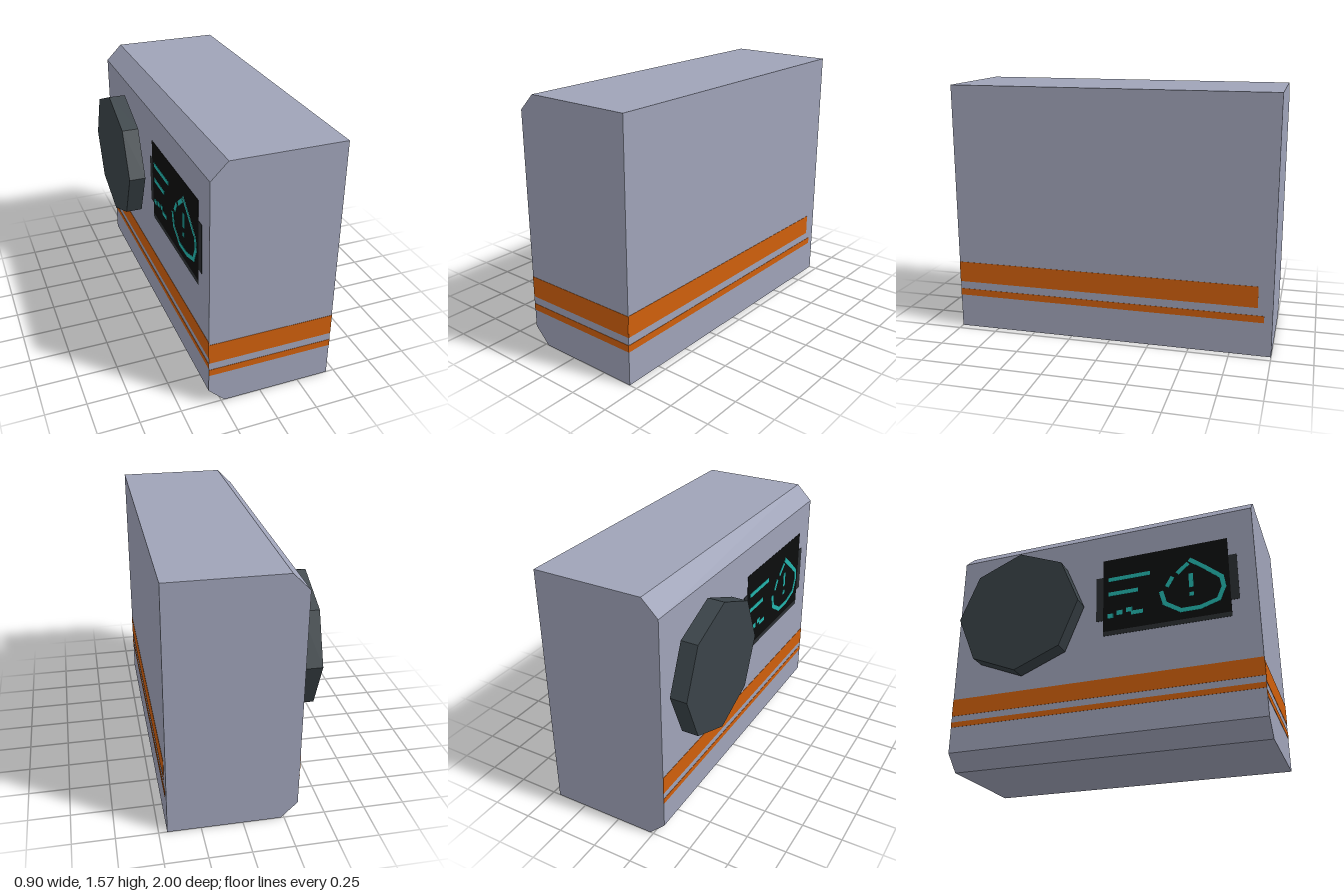
import * as THREE from 'three';

const paint = (name, color, flat = false) => {
  const m = new THREE.MeshStandardMaterial({ color, flatShading: flat });
  m.name = name;
  return m;
};

const LEFT = -0.33, RIGHT = 0.45, HEIGHT = 1.57, CUT = 0.1, T = 0.004;

export function createModel() {
  const model = new THREE.Group();
  model.name = 'wallUnit';
  const casing = paint('casingGrey', 0x9fa3b8, true);
  const orange = paint('stripeOrange', 0xcf5f0c);
  const knobDark = paint('knobCharcoal', 0x3a4348, true);
  const bezelDark = paint('bezelDark', 0x2a2e31);
  const black = paint('screenBlack', 0x0c0d0d);
  const teal = paint('displayTeal', 0x22b3ac);

  const add = (name, geometry, material, parent = model) => {
    const mesh = new THREE.Mesh(geometry, material);
    mesh.name = name;
    parent.add(mesh);
    return mesh;
  };

  // Casing: block with two chamfered edges on the control side
  const s = new THREE.Shape([
    [LEFT + CUT, 0], [RIGHT, 0], [RIGHT, HEIGHT], [LEFT + CUT, HEIGHT],
    [LEFT, HEIGHT - CUT], [LEFT, CUT],
  ].map(([x, y]) => new THREE.Vector2(x, y)));
  add('casing', new THREE.ExtrudeGeometry(s, { depth: 2, bevelEnabled: false }).translate(0, 0, -1), casing);

  // Thin plate on a side face, given by its z and y ranges
  const sidePlate = (name, x, z0, z1, y0, y1, material, t = T, parent = model) =>
    add(name, new THREE.BoxGeometry(t, y1 - y0, z1 - z0), material, parent)
      .position.set(x, (y0 + y1) / 2, (z0 + z1) / 2);

  // Stripes on the front and both long sides; the back is plain
  const stripes = new THREE.Group();
  stripes.name = 'stripes';
  model.add(stripes);
  for (const [y0, y1, end] of [[0.305, 0.437, -0.91], [0.213, 0.256, -0.95]]) {
    add('frontStripe', new THREE.BoxGeometry(RIGHT - LEFT, y1 - y0, T), orange, stripes)
      .position.set((LEFT + RIGHT) / 2, (y0 + y1) / 2, 1);
    sidePlate('plainSideStripe', RIGHT, end, 1, y0, y1, orange, T, stripes);
  }
  for (const [y0, y1] of [[0.343, 0.456], [0.268, 0.302]]) {
    sidePlate('controlSideStripe', LEFT, -1, 1, y0, y1, orange, T, stripes);
  }

  // Octagonal dial
  add('dial', new THREE.CylinderGeometry(0.417, 0.417, 0.105, 8).rotateZ(Math.PI / 2), knobDark)
    .position.set(-0.3975, 0.965, -0.515);

  // Screen with lower lip and end tabs
  const display = new THREE.Group();
  display.name = 'display';
  model.add(display);
  sidePlate('screen', LEFT, 0.027, 0.838, 0.772, 1.283, black, T, display);
  sidePlate('lowerLip', LEFT, 0.027, 0.838, 0.742, 0.772, bezelDark, T, display);
  sidePlate('endTab', LEFT, 0.838, 0.89, 0.85, 1.16, bezelDark, T, display);
  sidePlate('endTab', LEFT, -0.02, 0.027, 0.85, 1.16, bezelDark, T, display);

  // Display strokes between two (z, y) points
  const stroke = (name, [z0, y0], [z1, y1], w = 0.028) => {
    const length = Math.hypot(z1 - z0, y1 - y0) + w * 0.6;
    const mesh = add(name, new THREE.BoxGeometry(T, w, length), teal, display);
    mesh.position.set(LEFT - 0.002, (y0 + y1) / 2, (z0 + z1) / 2);
    mesh.rotation.x = -Math.atan2(y1 - y0, z1 - z0);
  };
  stroke('readoutLine', [0.07, 1.135], [0.33, 1.135]);
  stroke('readoutLine', [0.07, 1.03], [0.25, 1.03]);
  for (const [z, y] of [[0.075, 0.875], [0.135, 0.89], [0.2, 0.9]]) {
    stroke('readoutDot', [z - 0.01, y], [z + 0.01, y], 0.032);
  }
  stroke('readoutDash', [0.22, 0.875], [0.28, 0.875]);

  // Warning icon: rounded outline around a bar and a dot
  const outline = [
    [0.6, 1.175], [0.69, 1.105], [0.79, 1.02], [0.8, 0.95], [0.765, 0.87],
    [0.65, 0.835], [0.53, 0.835], [0.43, 0.9], [0.41, 0.98],
  ];
  outline.slice(1).forEach((p, i) => stroke('iconOutline', outline[i], p));
  stroke('iconOutline', [0.45, 1.02], [0.48, 1.07]);
  stroke('iconOutline', [0.52, 1.1], [0.58, 1.15]);
  stroke('iconBar', [0.6, 0.99], [0.6, 1.07]);
  stroke('iconDot', [0.6, 0.93], [0.6, 0.94]);

  return model;
}
